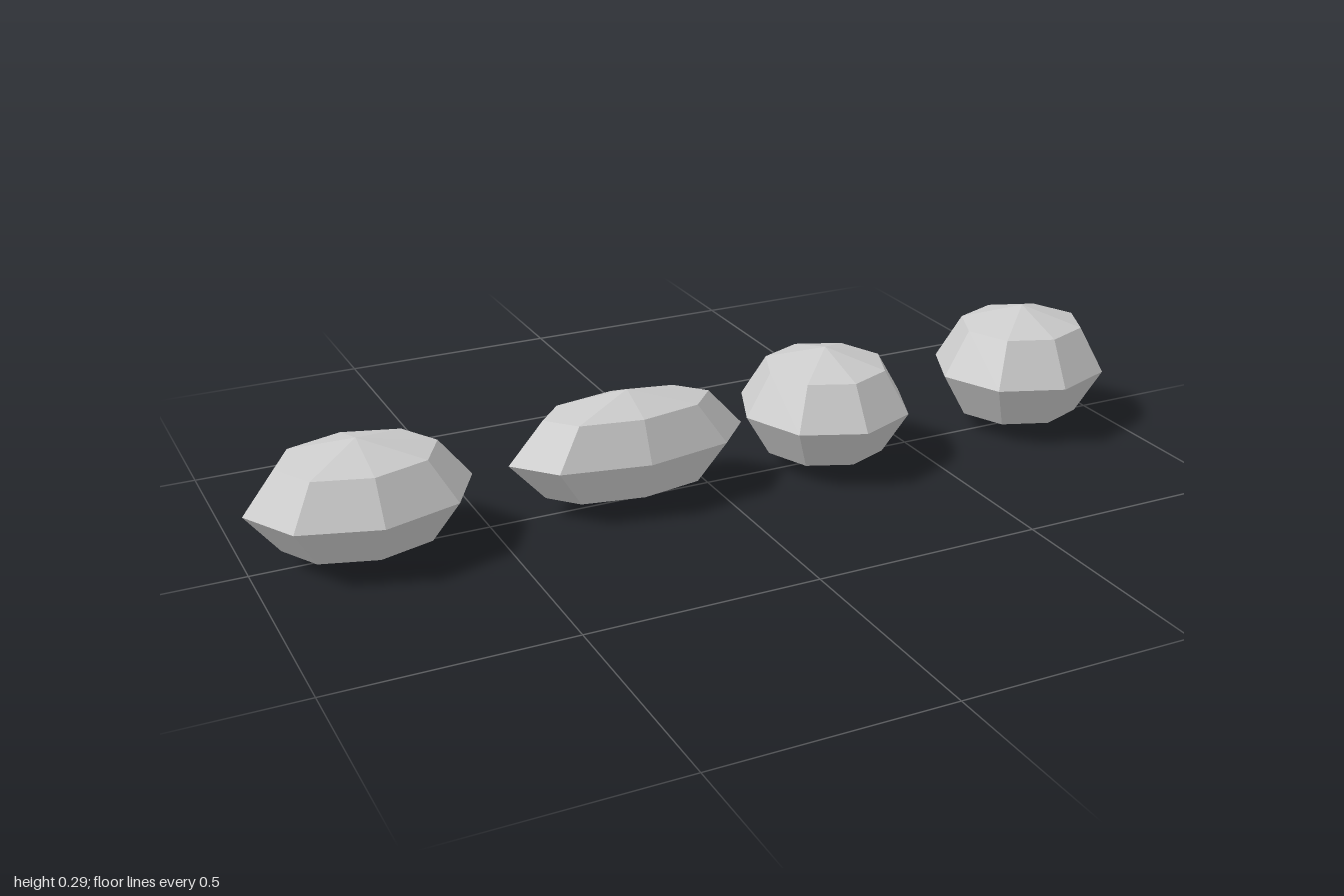
import * as THREE from 'three';

// Row of faceted stones: centre x, centre y, then radii along x, y and z
const STONES = [
  [-0.766, 0.128, 0.234, 0.124, 0.174],
  [-0.187, 0.128, 0.267, 0.124, 0.124],
  [0.285, 0.135, 0.191, 0.133, 0.192],
  [0.8, 0.143, 0.2, 0.143, 0.185],
];

export function createModel() {
  const group = new THREE.Group();
  group.name = 'stones';
  const material = new THREE.MeshStandardMaterial({ color: 0xcccccc, flatShading: true });

  // Each stone is a coarse sphere stretched along its axes
  STONES.forEach(([x, y, rx, ry, rz], i) => {
    const geometry = new THREE.SphereGeometry(1, 8, 4).scale(rx, ry, rz);
    const stone = new THREE.Mesh(geometry, material);
    stone.name = `stone${i + 1}`;
    stone.position.set(x, y, 0);
    group.add(stone);
  });
  return group;
}
